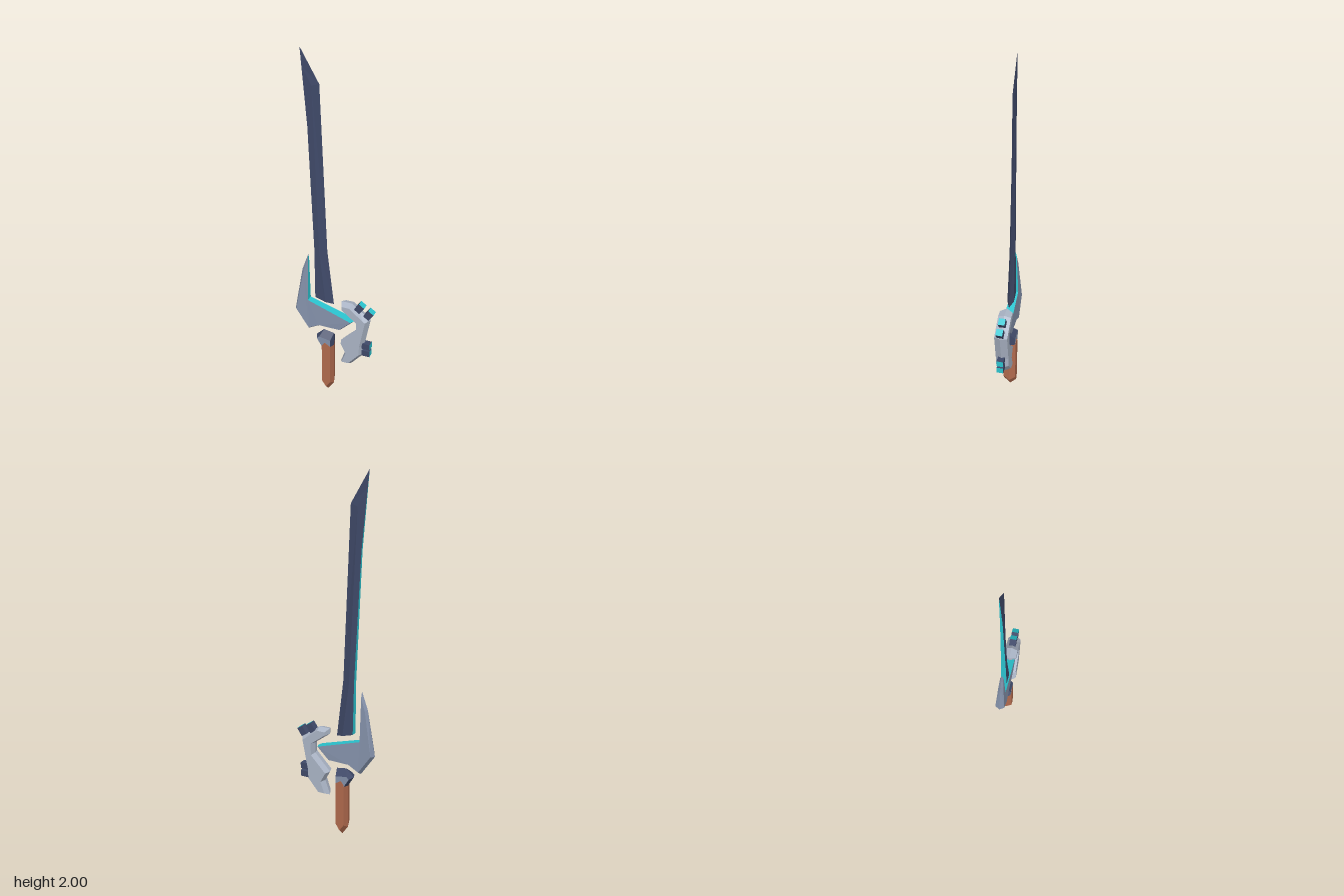
import * as THREE from 'three';

const navy = new THREE.MeshStandardMaterial({ color: 0x3f4968 });
const slate = new THREE.MeshStandardMaterial({ color: 0x8491aa });
const paleGrey = new THREE.MeshStandardMaterial({ color: 0xabb5c6 });
const brown = new THREE.MeshStandardMaterial({ color: 0xb06a4d });
const cyan = new THREE.MeshStandardMaterial({ color: 0x2bc4cf });
Object.entries({ navy, slate, paleGrey, brown, cyan }).forEach(([n, m]) => { m.name = n; });

// Moves every edge of a counter-clockwise outline inwards by its own distance
function insetOutline(points, insets) {
  const n = points.length;
  const line = (i) => {
    const a = points[i], b = points[(i + 1) % n];
    const dx = b[0] - a[0], dy = b[1] - a[1], l = Math.hypot(dx, dy);
    const nx = -dy / l, ny = dx / l;
    return [nx, ny, nx * a[0] + ny * a[1] + insets[i]];
  };
  return points.map((p, i) => {
    const [a, b, c] = line((i + n - 1) % n), [d, e, f] = line(i);
    const det = a * e - b * d;
    return [(c * e - b * f) / det, (a * f - c * d) / det];
  });
}

// Bevelled slab: the outline lies on z = 0 and the inset faces on +z and -z.
// depth: one number or one per point; edgeSlots: material slot per edge
function slab(name, points, insets, depth, materials, edgeSlots = []) {
  const n = points.length;
  const z = points.map((_, i) => (Array.isArray(depth) ? depth[i] : depth));
  const face = insetOutline(points, insets);
  const slots = materials.map(() => []);
  const tri = (slot, a, b, c) => {
    slots[slot].push(...a, ...b, ...c);
    const back = ([x, y, w]) => [x, y, -w];
    slots[slot].push(...back(a), ...back(c), ...back(b));
  };
  const F = face.map((p, i) => [p[0], p[1], z[i]]);
  const R = points.map((p) => [p[0], p[1], 0]);
  const flat = face.map((p) => new THREE.Vector2(p[0], p[1]));
  for (const [a, b, c] of THREE.ShapeUtils.triangulateShape(flat, [])) tri(0, F[a], F[b], F[c]);
  for (let i = 0; i < n; i++) {
    const j = (i + 1) % n, s = edgeSlots[i] || 0;
    tri(s, R[i], R[j], F[j]);
    tri(s, R[i], F[j], F[i]);
  }
  const geo = new THREE.BufferGeometry();
  geo.setAttribute('position', new THREE.Float32BufferAttribute(slots.flat(), 3));
  let start = 0;
  slots.forEach((list, i) => {
    geo.addGroup(start, list.length / 3, i);
    start += list.length / 3;
  });
  geo.computeVertexNormals();
  const mesh = new THREE.Mesh(geo, materials);
  mesh.name = name;
  return mesh;
}

export function createModel() {
  const sword = new THREE.Group();
  sword.name = 'sword';

  // Blade with a glowing spine and a single sharp edge
  sword.add(slab('blade',
    [[-0.18, 2], [-0.143, 1.6], [-0.11, 0.9], [-0.106, 0.61], [-0.005, 0.58], [-0.042, 0.9], [-0.08, 1.825]],
    [0, 0, 0, 0, 0.04, 0.04, 0.04],
    [0.002, 0.006, 0.012, 0.016, 0.018, 0.014, 0.005],
    [navy, cyan], [1, 1, 1]));

  // Hooked guard with glowing inner edges
  sword.add(slab('guard',
    [[-0.15, 0.86], [-0.185, 0.76], [-0.228, 0.505], [-0.148, 0.387], [-0.074, 0.427],
      [0.037, 0.427], [0.11, 0.497], [-0.148, 0.58]],
    [0.012, 0.012, 0.014, 0.014, 0.01, 0.01, 0, 0],
    [0.009, 0.013, 0.025, 0.025, 0.025, 0.025, 0.025, 0.019],
    [slate, cyan], [0, 0, 0, 0, 0, 0, 1, 1]));

  // Collar above the grip
  sword.add(slab('collar',
    [[-0.106, 0.357], [-0.072, 0.3], [-0.005, 0.3], [-0.005, 0.39], [-0.063, 0.4]],
    [0.01, 0, 0.009, 0.035, 0.012], 0.033,
    [slate, navy], [1, 0, 1, 1, 1]));

  // Pointed grip with a notched upper end
  sword.add(slab('grip',
    [[-0.072, 0.3], [-0.072, 0.05], [-0.038, 0], [-0.005, 0.05], [-0.005, 0.31], [-0.046, 0.335]],
    [0.009, 0.02, 0.02, 0.009, 0, 0], 0.0345, [brown]));

  // Knuckle guard
  sword.add(slab('knuckleGuard',
    [[0.037, 0.61], [0.037, 0.58], [0.127, 0.51], [0.127, 0.45], [0.037, 0.357], [0.066, 0.3], [0.037, 0.219],
      [0.1, 0.219], [0.169, 0.3], [0.172, 0.36], [0.206, 0.536], [0.143, 0.575], [0.1, 0.61]],
    [0.015, 0.008, 0.008, 0.008, 0.01, 0.01, 0.018, 0.018, 0.018, 0.018, 0.018, 0.012, 0.012],
    0.035, [paleGrey]));

  // Pegs with glowing ends: x, y, length, width, angle
  const pegs = [
    [0.145, 0.597, 0.05, 0.036, 0.97],
    [0.198, 0.568, 0.05, 0.036, 0.97],
    [0.185, 0.362, 0.046, 0.034, 0],
    [0.185, 0.317, 0.046, 0.034, 0],
  ];
  for (const [x, y, length, width, angle] of pegs) {
    const peg = new THREE.Mesh(new THREE.BoxGeometry(length, width, 0.036), [cyan, navy, navy, navy, navy, navy]);
    peg.position.set(x, y, 0);
    peg.rotation.z = angle;
    peg.name = 'peg';
    sword.add(peg);
  }
  return sword;
}
